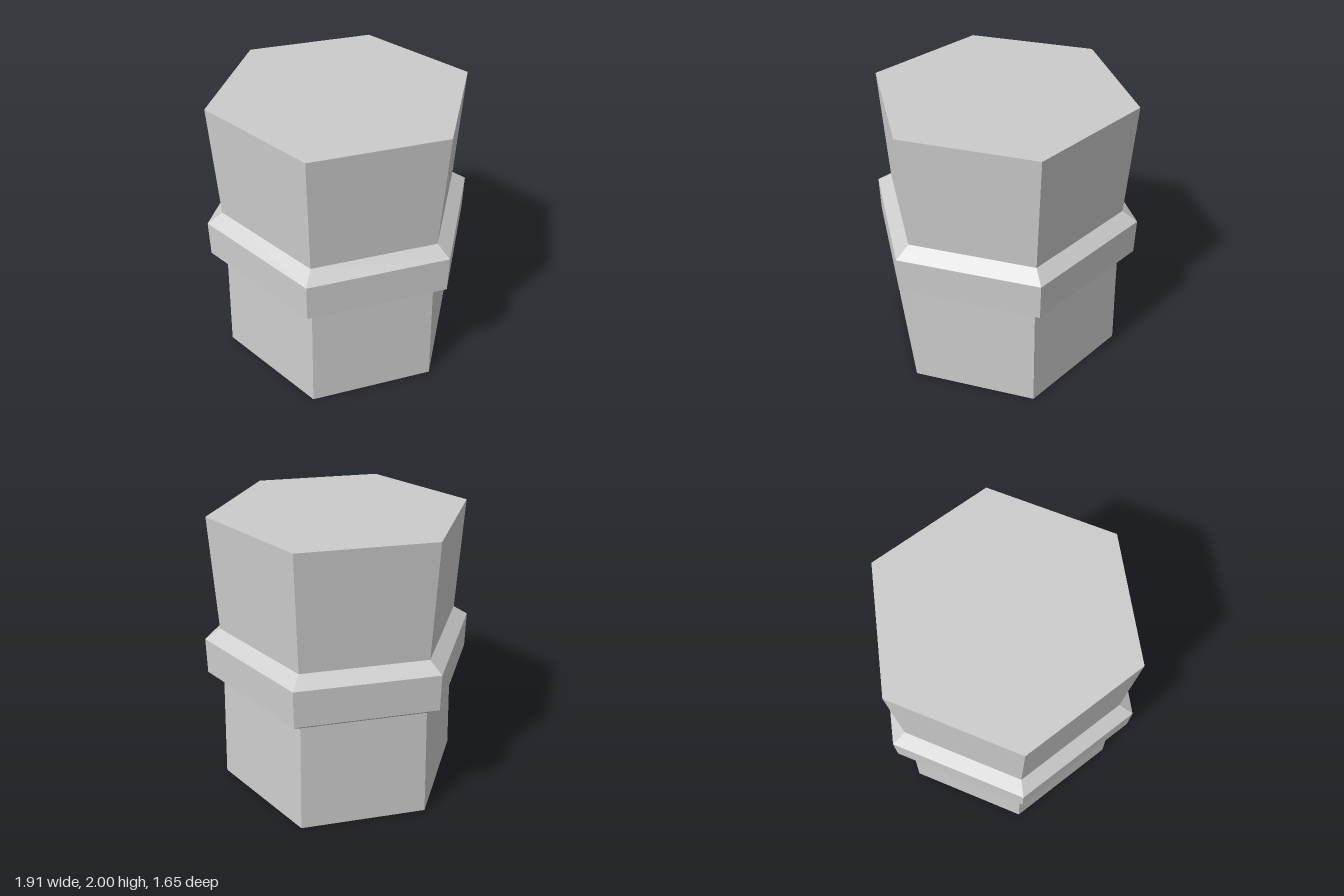
import * as THREE from 'three';

const SIDES = 6;

// Turns a [radius, height] profile, listed bottom to top, into a faceted hexagonal part
function hexPart(name, profile, material) {
  const points = profile.map(([r, y]) => new THREE.Vector2(r, y));
  const geometry = new THREE.LatheGeometry(points, SIDES, Math.PI / 6);
  const mesh = new THREE.Mesh(geometry, material);
  mesh.name = name;
  return mesh;
}

export function createModel() {
  const model = new THREE.Group();
  model.name = 'hexagonalColumn';
  const material = new THREE.MeshStandardMaterial({ color: 0xcccccc, flatShading: true });

  const endRadius = 0.882, neckRadius = 0.848, collarRadius = 0.955;

  // Lower shaft, closed underneath and narrowing toward the collar
  model.add(hexPart('lowerShaft', [[0, 0], [endRadius, 0], [neckRadius, 0.8]], material));

  // Raised collar with bevelled edges
  model.add(hexPart('collar', [
    [neckRadius, 0.8], [collarRadius, 0.87], [collarRadius, 1.13], [neckRadius, 1.2],
  ], material));

  // Upper shaft, widening toward its closed top
  model.add(hexPart('upperShaft', [[neckRadius, 1.2], [endRadius, 2], [0, 2]], material));

  return model;
}
